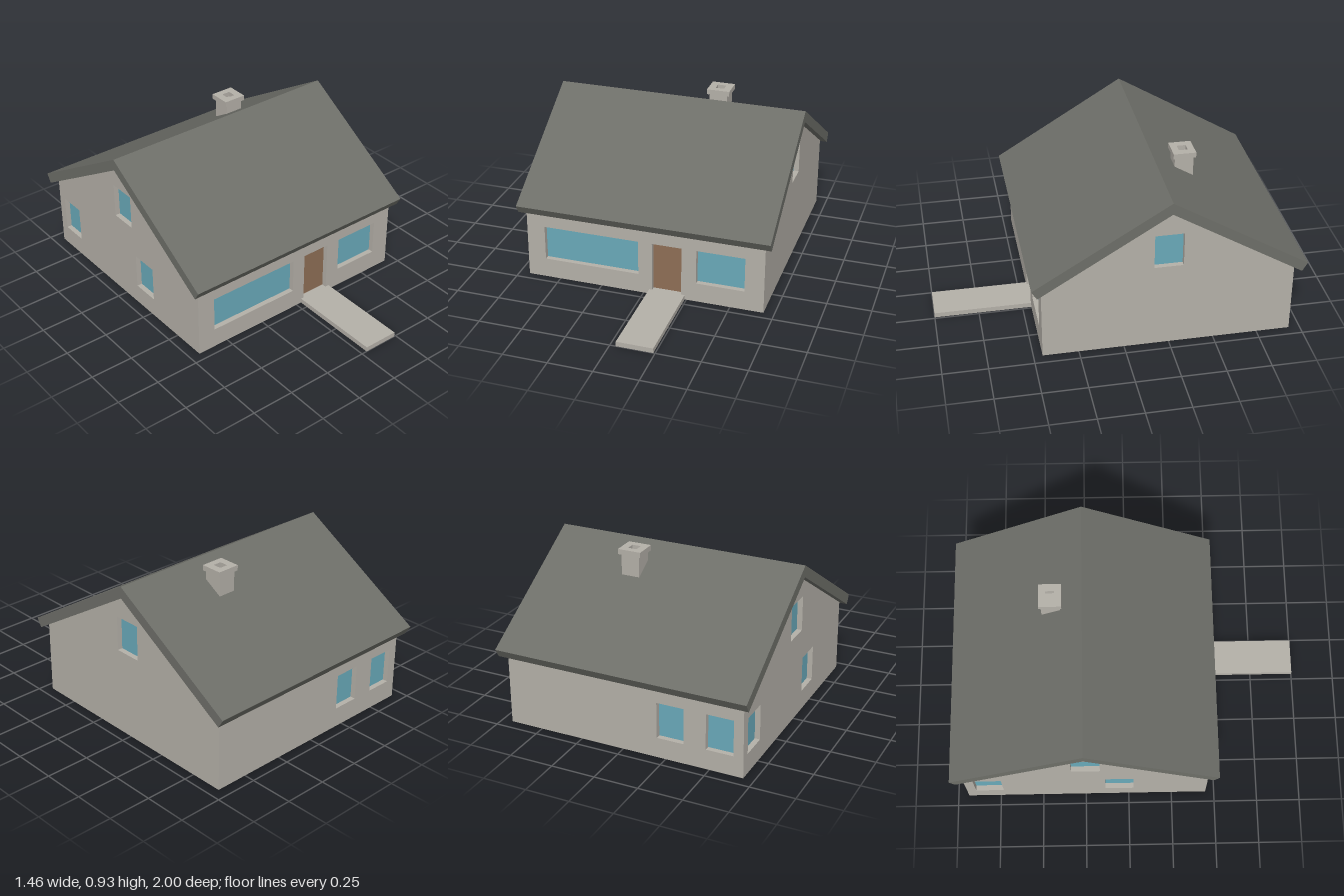
import * as THREE from 'three';

const wallMat = new THREE.MeshStandardMaterial({ color: 0xb4b0a8, side: THREE.DoubleSide });
wallMat.name = 'plaster';
const roofMat = new THREE.MeshStandardMaterial({ color: 0x6d6e68 });
roofMat.name = 'roof grey';
const glassMat = new THREE.MeshStandardMaterial({ color: 0x69a9b9, side: THREE.DoubleSide });
glassMat.name = 'window blue';
const doorMat = new THREE.MeshStandardMaterial({ color: 0x8e6e55, side: THREE.DoubleSide });
doorMat.name = 'door brown';

const HALF_X = 0.69, FRONT = 0.45, BACK = -0.938, RIDGE = -0.243;
const EAVE = 0.426, PEAK = 0.852, RECESS = 0.03;

function mesh(geometry, material, name) {
  const m = new THREE.Mesh(geometry, material);
  m.name = name;
  return m;
}

function polygon(points) {
  return new THREE.Shape(points.map(([x, y]) => new THREE.Vector2(x, y)));
}

function rectPath(x0, x1, y0, y1) {
  return new THREE.Path([[x0, y0], [x0, y1], [x1, y1], [x1, y0]].map(([x, y]) => new THREE.Vector2(x, y)));
}

// Open square tube lining a recess, behind the wall plane
function revealGeometry(w, h) {
  let g = new THREE.CylinderGeometry(Math.SQRT1_2, Math.SQRT1_2, 1, 4, 1, true);
  g.rotateY(Math.PI / 4).rotateX(Math.PI / 2).scale(w, h, RECESS);
  g = g.toNonIndexed();
  g.computeVertexNormals();
  return g;
}

// Wall sheet facing local +z, with recessed openings [x0, x1, y0, y1, kind]
function makeWall(name, outline, openings) {
  const group = new THREE.Group();
  group.name = name;
  const shape = polygon(outline);
  for (const [x0, x1, y0, y1, kind = 'window'] of openings) {
    shape.holes.push(rectPath(x0, x1, y0, y1));
    const w = x1 - x0, h = y1 - y0, cx = (x0 + x1) / 2, cy = (y0 + y1) / 2;
    const reveal = mesh(revealGeometry(w, h), wallMat, kind + 'Reveal');
    reveal.position.set(cx, cy, -RECESS / 2);
    const pane = mesh(new THREE.PlaneGeometry(w, h), kind === 'door' ? doorMat : glassMat, kind);
    pane.position.set(cx, cy, -RECESS);
    group.add(reveal, pane);
  }
  group.add(mesh(new THREE.ShapeGeometry(shape), wallMat, name + 'Sheet'));
  return group;
}

export function createModel() {
  const house = new THREE.Group();
  house.name = 'house';
  const LOW = 0.115, HIGH = 0.32;

  // Long walls
  const longOutline = [[-HALF_X, 0], [HALF_X, 0], [HALF_X, EAVE], [-HALF_X, EAVE]];
  const front = makeWall('frontWall', longOutline, [
    [-0.585, -0.03, LOW, HIGH],
    [0.305, 0.58, LOW, HIGH],
    [0.05, 0.22, 0.025, HIGH, 'door'],
  ]);
  front.position.z = FRONT;
  const back = makeWall('backWall', longOutline, [
    [0.2, 0.355, LOW, HIGH],
    [0.48, 0.635, LOW, HIGH],
  ]);
  back.rotation.y = Math.PI;
  back.position.z = BACK;

  // Gable walls: local x runs along -z on the left, +z on the right
  const gable = (s) => [[s * FRONT, 0], [s * BACK, 0], [s * BACK, EAVE], [s * RIDGE, PEAK], [s * FRONT, EAVE]];
  const left = makeWall('leftGable', gable(-1), [[0.16, 0.32, 0.5, 0.7]]);
  left.rotation.y = Math.PI / 2;
  left.position.x = HALF_X;
  const right = makeWall('rightGable', gable(1), [
    [-0.32, -0.16, 0.5, 0.7],
    [-0.135, 0.027, LOW, HIGH],
    [-0.885, -0.725, LOW, HIGH],
  ]);
  right.rotation.y = -Math.PI / 2;
  right.position.x = -HALF_X;
  house.add(front, back, left, right);

  // Roof: one folded slab extruded along x
  const roofShape = polygon([
    [-0.505, 0.455], [-0.475, 0.405], [-RIDGE, 0.848], [0.97, 0.405], [1.0, 0.455], [-RIDGE, 0.915],
  ]);
  const roofGeo = new THREE.ExtrudeGeometry(roofShape, { depth: 1.456, bevelEnabled: false });
  roofGeo.translate(0, 0, -0.728).rotateY(Math.PI / 2);
  house.add(mesh(roofGeo, roofMat, 'roof'));

  // Chimney shaft and cap with a square flue
  const chimney = new THREE.Group();
  chimney.name = 'chimney';
  chimney.position.set(0.188, 0, -0.417);
  const shaft = mesh(new THREE.BoxGeometry(0.105, 0.13, 0.105), wallMat, 'chimneyShaft');
  shaft.position.y = 0.832;
  const capShape = polygon([[-0.067, -0.063], [0.067, -0.063], [0.067, 0.063], [-0.067, 0.063]]);
  capShape.holes.push(rectPath(-0.025, 0.025, -0.025, 0.025));
  const capGeo = new THREE.ExtrudeGeometry(capShape, { depth: 0.03, bevelEnabled: false });
  capGeo.rotateX(-Math.PI / 2);
  const cap = mesh(capGeo, wallMat, 'chimneyCap');
  cap.position.y = 0.896;
  chimney.add(shaft, cap);
  house.add(chimney);

  // Path to the door
  const path = mesh(new THREE.BoxGeometry(0.207, 0.028, 0.55), wallMat, 'frontPath');
  path.position.set(0.137, 0.014, 0.725);
  house.add(path);

  return house;
}
